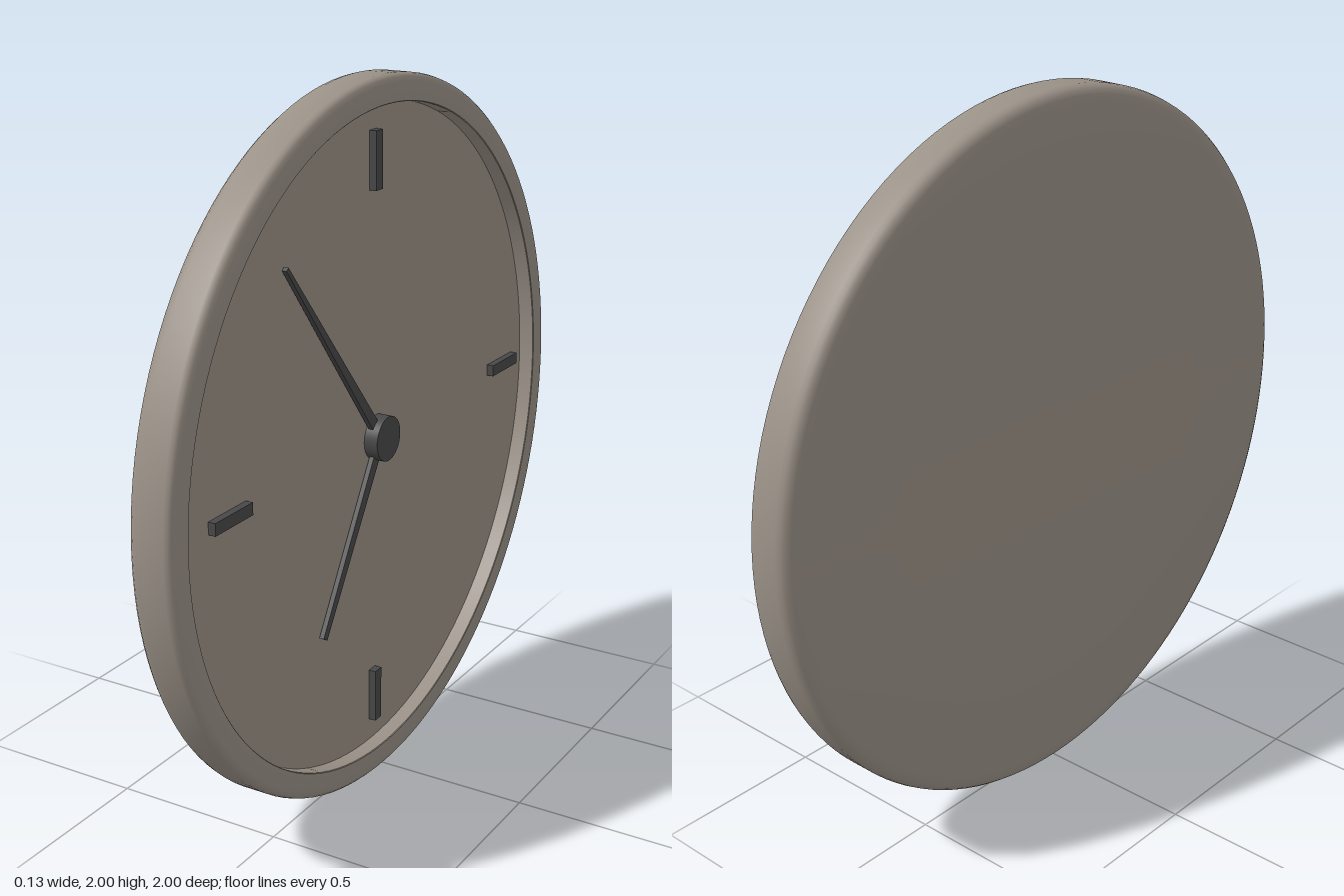
import * as THREE from 'three';
import { toCreasedNormals } from 'three/addons/utils/BufferGeometryUtils.js';

const DIAL_X = 0.018; // height of the recessed dial along +x

export function createModel() {
  const clock = new THREE.Group();
  clock.name = 'wallClock';
  const bodyMat = new THREE.MeshStandardMaterial({ color: 0x9a9187 });
  const darkMat = new THREE.MeshStandardMaterial({ color: 0x484848 });

  function add(name, geometry, material) {
    const mesh = new THREE.Mesh(geometry, material);
    mesh.name = name;
    clock.add(mesh);
    return mesh;
  }

  // Turns a radius/height profile about the x axis, facing +x
  function turned(profile) {
    const points = profile.map(([r, h]) => new THREE.Vector2(r, h));
    const g = toCreasedNormals(new THREE.LatheGeometry(points, 128), 0.6);
    return g.rotateZ(-Math.PI / 2).translate(0, 1, 0);
  }

  // Case: nearly flat back, rounded edges, raised rim and inner wall
  add('case', turned([
    [0, -0.067], [0.6, -0.066], [0.95, -0.064], [0.975, -0.061], [0.988, -0.055],
    [0.996, -0.045], [1, -0.03], [1, 0.045], [0.997, 0.055], [0.99, 0.062],
    [0.978, 0.065], [0.927, 0.065], [0.925, 0.063], [0.925, DIAL_X - 0.01],
  ]), bodyMat);

  // Dial: recessed disc
  add('dial', turned([[0.926, DIAL_X], [0, DIAL_X]]), bodyMat);

  // Hour markers: [z, y, z size, y size]
  const markers = [
    [0, 1.778, 0.034, 0.158], [0, 0.22, 0.034, 0.158],
    [0.7, 1.012, 0.162, 0.034], [-0.778, 1.012, 0.162, 0.034],
  ];
  for (const [z, y, sz, sy] of markers) {
    const marker = add('hourMarker', new THREE.BoxGeometry(0.022, sy, sz), darkMat);
    marker.position.set(DIAL_X + 0.01, y, z);
  }

  // Hub
  const hubY = 1.003, hubZ = -0.02;
  const hub = add('hub', new THREE.CylinderGeometry(0.064, 0.064, 0.042, 48), darkMat);
  hub.rotation.z = -Math.PI / 2;
  hub.position.set(DIAL_X + 0.02, hubY, hubZ);

  // Hands: tapered bars from the hub to a tip
  function hand(name, tipY, tipZ, baseWidth, tipWidth) {
    const dy = tipY - hubY, dz = tipZ - hubZ;
    const length = Math.hypot(dy, dz);
    const g = new THREE.BoxGeometry(0.014, length, 1).translate(0, length / 2, 0);
    const p = g.attributes.position;
    for (let i = 0; i < p.count; i++) {
      p.setZ(i, p.getZ(i) * (p.getY(i) > length / 2 ? tipWidth : baseWidth));
    }
    g.computeVertexNormals();
    const mesh = add(name, g, darkMat);
    mesh.rotation.x = Math.atan2(dz, dy);
    mesh.position.set(DIAL_X + 0.014, hubY, hubZ);
  }
  hand('minuteHand', 1.582, 0.447, 0.034, 0.012);
  hand('hourHand', 0.513, 0.286, 0.034, 0.022);

  return clock;
}
